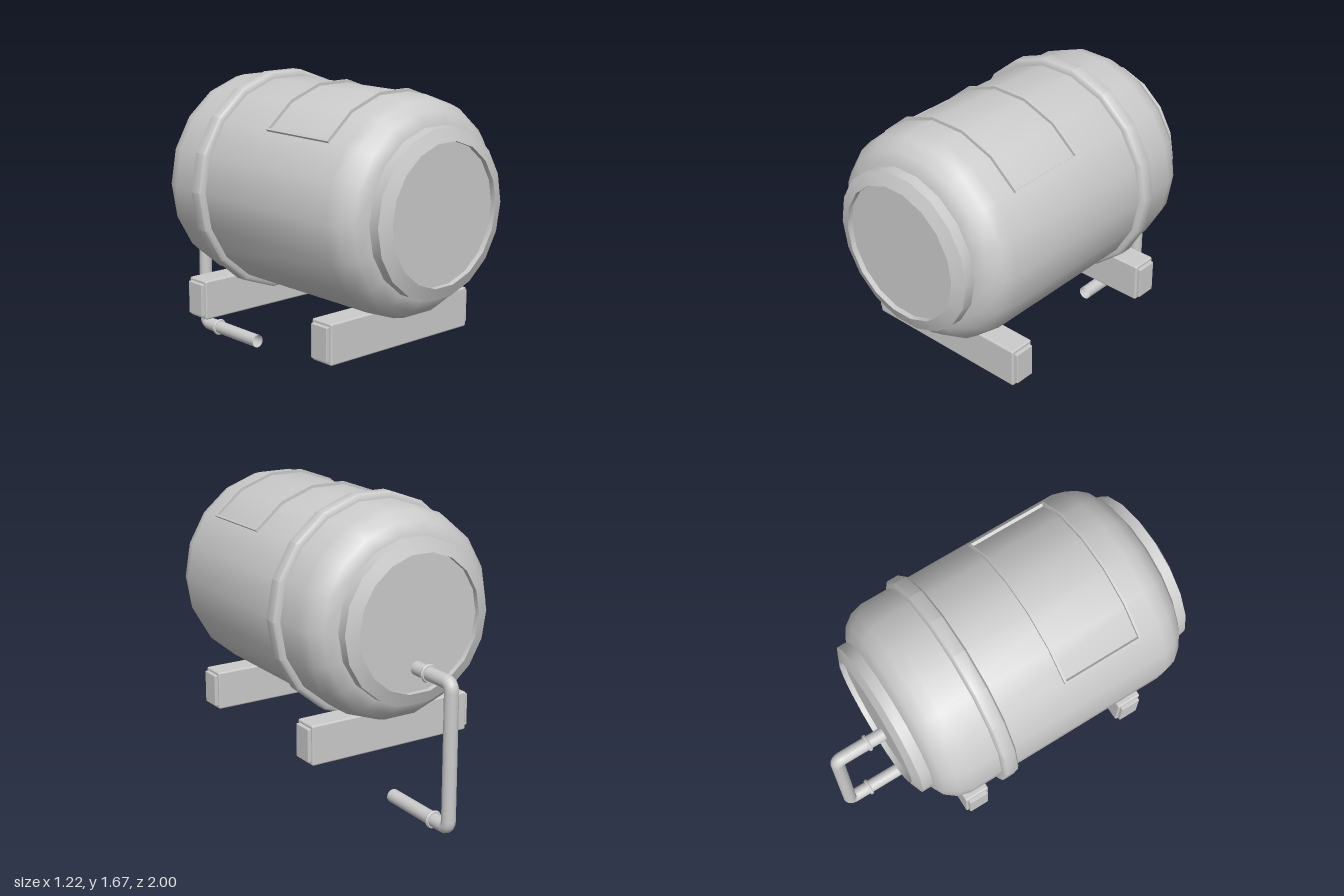
import * as THREE from 'three';
import { toCreasedNormals } from 'three/addons/utils/BufferGeometryUtils.js';
import { RoundedBoxGeometry } from 'three/addons/geometries/RoundedBoxGeometry.js';

const SIDES = 18, AXIS_Y = 1.07, MID_Z = 0.15;
const material = new THREE.MeshStandardMaterial({ color: 0xcccccc });
const openMaterial = new THREE.MeshStandardMaterial({ color: 0xcccccc, side: THREE.DoubleSide });

function add(parent, name, geometry, x = 0, y = 0, z = 0, mat = material) {
  const mesh = new THREE.Mesh(geometry, mat);
  mesh.name = name;
  mesh.position.set(x, y, z);
  parent.add(mesh);
  return mesh;
}

// Lathe lying along z; profile points are [radius, z] with z increasing on the outside
function turned(points, segments = SIDES, start = Math.PI / 2, sweep = Math.PI * 2, crease = 0.62) {
  const profile = points.map(([r, z]) => new THREE.Vector2(r, z));
  const geometry = new THREE.LatheGeometry(profile, segments, start, sweep);
  return toCreasedNormals(geometry.rotateX(Math.PI / 2), crease);
}

export function createModel() {
  const model = new THREE.Group();
  model.name = 'barrelOnStand';

  // Barrel, with its origin at the middle of its length
  const barrel = new THREE.Group();
  barrel.name = 'barrel';
  barrel.position.set(0, AXIS_Y, MID_Z);
  model.add(barrel);

  const shoulder = [[0.575, 0.6], [0.556, 0.67], [0.51, 0.73], [0.45, 0.763], [0.4, 0.766]];
  const lower = shoulder.map(([r, z]) => [r, -z]).reverse();
  add(barrel, 'barrelBody', turned([...lower, ...shoulder]));

  // Chamfered end rims with a recessed lid
  const rim = [[0.44, 0.75], [0.44, 0.822], [0.37, 0.85], [0.37, 0.82], [0, 0.82]];
  add(barrel, 'frontRim', turned(rim));
  add(barrel, 'backRim', turned(rim).rotateY(Math.PI));

  // Raised hoop near the back
  add(barrel, 'hoop', turned([
    [0.57, -0.43], [0.595, -0.43], [0.61, -0.418], [0.61, -0.352], [0.595, -0.34], [0.57, -0.34],
  ], SIDES, Math.PI / 2, Math.PI * 2, 0.9));

  // Thin frame of the top panel: two curved rails and two straight ones
  const deg = Math.PI / 180;
  for (const [name, z] of [['panelFrontRail', 0.475], ['panelBackRail', 0.025]]) {
    const rail = [[0.565, z - 0.006], [0.592, z - 0.006], [0.592, z + 0.006], [0.565, z + 0.006]];
    add(barrel, name, turned(rail, 5, 130 * deg, 100 * deg));
  }
  for (const side of [-1, 1]) {
    const rail = add(barrel, side > 0 ? 'panelLeftRail' : 'panelRightRail',
      new THREE.BoxGeometry(0.027, 0.012, 0.462),
      side * 0.578 * Math.cos(40 * deg), 0.578 * Math.sin(40 * deg), 0.25);
    rail.rotation.z = side * 40 * deg;
  }

  // Cross beams with end caps
  for (const [name, z] of [['frontBeam', 0.637], ['backBeam', -0.382]]) {
    const beam = new THREE.Group();
    beam.name = name;
    beam.position.set(0, 0.435, z);
    model.add(beam);
    add(beam, 'beam', new RoundedBoxGeometry(0.99, 0.22, 0.145, 2, 0.01));
    for (const x of [-0.5, 0.5]) {
      add(beam, 'beamCap', new RoundedBoxGeometry(0.03, 0.185, 0.118, 1, 0.006), x);
    }
  }

  // Drain pipe: out of the back, down, then forward under the barrel
  const bend = 0.045, topY = 0.83, lowY = 0.052, backZ = -0.962;
  const at = (y, z) => new THREE.Vector3(0, y, z);
  const path = new THREE.CurvePath();
  path.add(new THREE.LineCurve3(at(topY, -0.65), at(topY, backZ + bend)));
  path.add(new THREE.QuadraticBezierCurve3(at(topY, backZ + bend), at(topY, backZ), at(topY - bend, backZ)));
  path.add(new THREE.LineCurve3(at(topY - bend, backZ), at(lowY + bend, backZ)));
  path.add(new THREE.QuadraticBezierCurve3(at(lowY + bend, backZ), at(lowY, backZ), at(lowY, backZ + bend)));
  path.add(new THREE.LineCurve3(at(lowY, backZ + bend), at(lowY, -0.47)));
  add(model, 'drainPipe', new THREE.TubeGeometry(path, 140, 0.038, 16), 0, 0, 0, openMaterial);

  // Collars on the pipe
  for (const [name, y, z] of [['upperCollar', topY, -0.77], ['lowerCollar', lowY, -0.835]]) {
    const collar = [[0.03, -0.01], [0.045, -0.01], [0.05, 0], [0.045, 0.01], [0.03, 0.01]];
    add(model, name, turned(collar, 16), 0, y, z);
  }

  return model;
}
